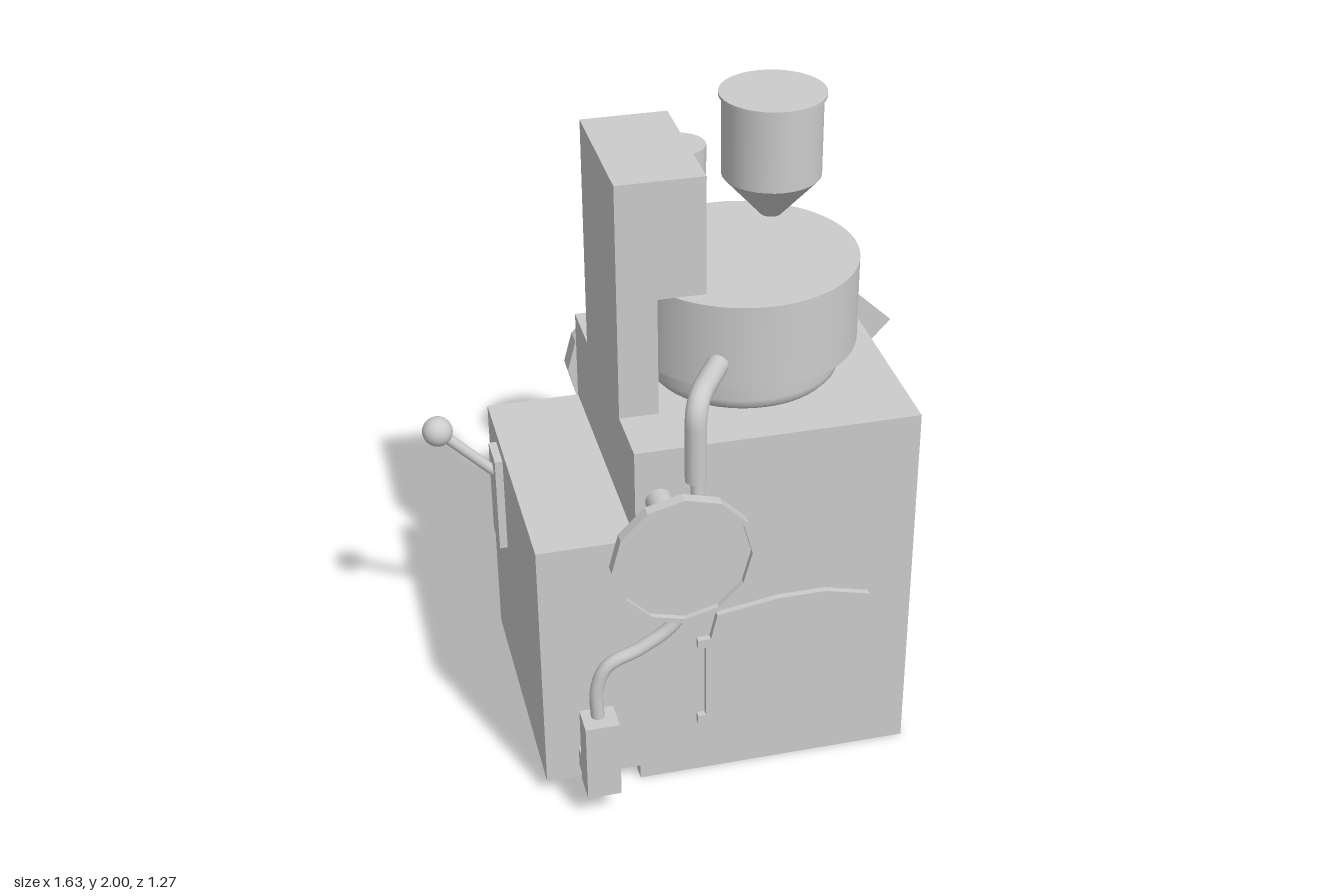
import * as THREE from 'three';

const smooth = new THREE.MeshStandardMaterial({ color: 0xcccccc, side: THREE.DoubleSide });
const flat = new THREE.MeshStandardMaterial({ color: 0xcccccc, side: THREE.DoubleSide, flatShading: true });
const V = (x, y, z) => new THREE.Vector3(x, y, z);

export function createModel() {
  const model = new THREE.Group();

  const add = (name, geometry, material = flat) => {
    const mesh = new THREE.Mesh(geometry, material);
    mesh.name = name;
    model.add(mesh);
    return mesh;
  };
  // Box given by its limits on each axis
  const box = (name, x0, x1, y0, y1, z0, z1) => {
    const mesh = add(name, new THREE.BoxGeometry(x1 - x0, y1 - y0, z1 - z0));
    mesh.position.set((x0 + x1) / 2, (y0 + y1) / 2, (z0 + z1) / 2);
    return mesh;
  };
  // Cylinder between two points
  const rod = (name, a, b, r, sides = 24, material = smooth) => {
    const mesh = add(name, new THREE.CylinderGeometry(r, r, a.distanceTo(b), sides), material);
    mesh.position.copy(a).add(b).multiplyScalar(0.5);
    mesh.quaternion.setFromUnitVectors(V(0, 1, 0), b.clone().sub(a).normalize());
    return mesh;
  };
  const lathe = (name, points, sides, material) =>
    add(name, new THREE.LatheGeometry(points.map(p => new THREE.Vector2(...p)), sides), material);
  const plate = (points, depth) => new THREE.ExtrudeGeometry(
    new THREE.Shape(points.map(p => new THREE.Vector2(...p))), { depth, bevelEnabled: false });

  // Cabinet with a cut-out at the upper back corner, and the lower side cabinet
  box('cabinetLower', -0.28, 0.59, 0, 0.92, -0.55, 0.31);
  box('cabinetUpperFront', -0.28, 0.59, 0.92, 1.22, -0.41, 0.31);
  box('cabinetUpperBack', -0.28, 0.35, 0.92, 1.22, -0.55, -0.41);
  box('sideCabinet', -0.58, -0.28, 0.05, 0.92, -0.55, 0.31);

  // Column that overhangs the drum
  box('columnFoot', -0.28, -0.16, 1.22, 1.6, -0.36, 0.11);
  box('columnHead', -0.28, -0.015, 1.6, 1.97, -0.36, 0.11);
  rod('columnSpindle', V(-0.04, 1.58, -0.12), V(-0.04, 1.97, -0.12), 0.08);

  // Drum on its rounded neck
  rod('drum', V(0.155, 1.33, -0.12), V(0.155, 1.6, -0.12), 0.35, 64);
  lathe('drumNeck', [[0.26, 1.22], [0.28, 1.225], [0.293, 1.24], [0.297, 1.26], [0.297, 1.33]], 48, smooth)
    .position.set(0.155, 0, -0.12);

  // Closed hopper with funnel and thin rim
  const hopper = new THREE.Group();
  hopper.name = 'hopper';
  hopper.position.set(0.31, 0, -0.36);
  hopper.add(
    add('hopperBody', new THREE.CylinderGeometry(0.155, 0.155, 0.26, 32), smooth).translateY(1.865),
    add('hopperFunnel', new THREE.CylinderGeometry(0.155, 0.025, 0.145, 32), smooth).translateY(1.6625),
    add('hopperRim', new THREE.CylinderGeometry(0.165, 0.165, 0.01, 32), smooth).translateY(1.995));
  model.add(hopper);

  // Outlet spout and open sloping chute
  const spout = box('spout', -0.06, 0.06, 1.34, 1.39, -0.04, 0.04);
  spout.position.set(0.42, 1.365, -0.44);
  spout.rotation.y = 0.7;
  const chuteFloor = add('chuteFloor', new THREE.PlaneGeometry(0.44, 0.115));
  chuteFloor.rotation.set(-Math.PI / 2, Math.atan2(0.3, 0.32), 0, 'ZXY');
  chuteFloor.rotation.set(-Math.PI / 2, 0, 0);
  const chute = new THREE.Group();
  chute.name = 'chute';
  chute.position.set(0.55, 1.13, -0.4825);
  chute.rotation.z = -Math.atan2(0.3, 0.32);
  const chuteSide = add('chuteSide', new THREE.PlaneGeometry(0.44, 0.113));
  chuteSide.position.set(0, 0.0565, -0.0575);
  chute.add(chuteFloor, chuteSide);
  model.add(chute);

  // Belt guard: two twelve-sided ends joined by a straight arm
  const big = V(-0.105, 1.015, 0), small = V(0.6, 0.3, 0);
  const guardEnd = (name, c, r) =>
    rod(name, V(c.x, c.y, -0.615), V(c.x, c.y, -0.55), r, 12, flat);
  guardEnd('guardUpperEnd', big, 0.205);
  guardEnd('guardLowerEnd', small, 0.21);
  const arm = box('guardArm', 0, big.distanceTo(small), 0, 0.28, -0.614, -0.55);
  arm.position.set((big.x + small.x) / 2, (big.y + small.y) / 2, -0.582);
  arm.rotation.z = Math.atan2(small.y - big.y, small.x - big.x);
  rod('guardCap', V(big.x, big.y, -0.64), V(big.x, big.y, -0.61), 0.14, 20);

  // Handwheel with a dished face
  const wheel = lathe('handwheel',
    [[0, 0.6], [0.21, 0.6], [0.21, 0.635], [0.195, 0.635], [0.195, 0.618], [0, 0.618]], 12, flat);
  wheel.rotation.x = Math.PI / 2;
  wheel.position.set(-0.21, 1.05, 0);
  rod('handwheelShaft', V(-0.21, 1.05, 0.3), V(-0.21, 1.05, 0.61), 0.04);

  // Lever with ball knob
  box('leverPlate', -0.605, -0.575, 0.55, 0.88, -0.39, -0.27);
  rod('leverRod', V(-0.59, 0.8, -0.33), V(-0.77, 0.985, -0.33), 0.017, 16);
  add('leverKnob', new THREE.SphereGeometry(0.048, 24, 16), smooth).position.set(-0.77, 0.985, -0.33);

  // Doors share one outline with two hinge ears on the left
  const door = [
    [-0.085, 0.54], [-0.07, 0.57], [-0.05, 0.655], [0.14, 0.685], [0.29, 0.685], [0.43, 0.65],
    [0.465, 0.535], [0.465, 0.28], [0.43, 0.18], [0.31, 0.145], [0.16, 0.145], [-0.03, 0.17],
    [-0.055, 0.235], [-0.11, 0.245], [-0.11, 0.277], [-0.085, 0.277],
    [-0.085, 0.54], [-0.11, 0.54], [-0.11, 0.57], [-0.085, 0.57]
  ];
  const outline = [...door.slice(1, 16), ...door.slice(16, 19)];
  add('frontDoor', plate(outline, 0.02)).position.z = 0.365;
  const side = add('sideDoor', plate(outline.map(([x, y]) => [(x + 0.11) * 0.73, (y - 0.145) * 0.75]), 0.023));
  side.rotation.y = Math.PI / 2;
  side.position.set(0.58, 0.28, 0.1);

  // Feed pipe: thick elbow from the drum, then a thin bent tube to the switch box
  const elbow = new THREE.CurvePath();
  elbow.add(new THREE.LineCurve3(V(0.01, 1.41, 0.17), V(-0.075, 1.41, 0.31)));
  elbow.add(new THREE.QuadraticBezierCurve3(V(-0.075, 1.41, 0.31), V(-0.115, 1.41, 0.38), V(-0.115, 1.33, 0.38)));
  elbow.add(new THREE.LineCurve3(V(-0.115, 1.33, 0.38), V(-0.115, 1.15, 0.38)));
  add('feedElbow', new THREE.TubeGeometry(elbow, 32, 0.033, 12), smooth);
  const cable = new THREE.CatmullRomCurve3([
    V(-0.11, 1.16, 0.38), V(-0.115, 1.0, 0.39), V(-0.13, 0.86, 0.405), V(-0.185, 0.68, 0.41),
    V(-0.29, 0.6, 0.41), V(-0.395, 0.55, 0.41), V(-0.43, 0.47, 0.41), V(-0.43, 0.35, 0.41)]);
  add('feedTube', new THREE.TubeGeometry(cable, 60, 0.021, 12), smooth);
  box('switchBox', -0.48, -0.375, 0.095, 0.365, 0.375, 0.47);
  box('switchBracket', -0.475, -0.38, 0.095, 0.165, 0.3, 0.38);

  return model;
}
